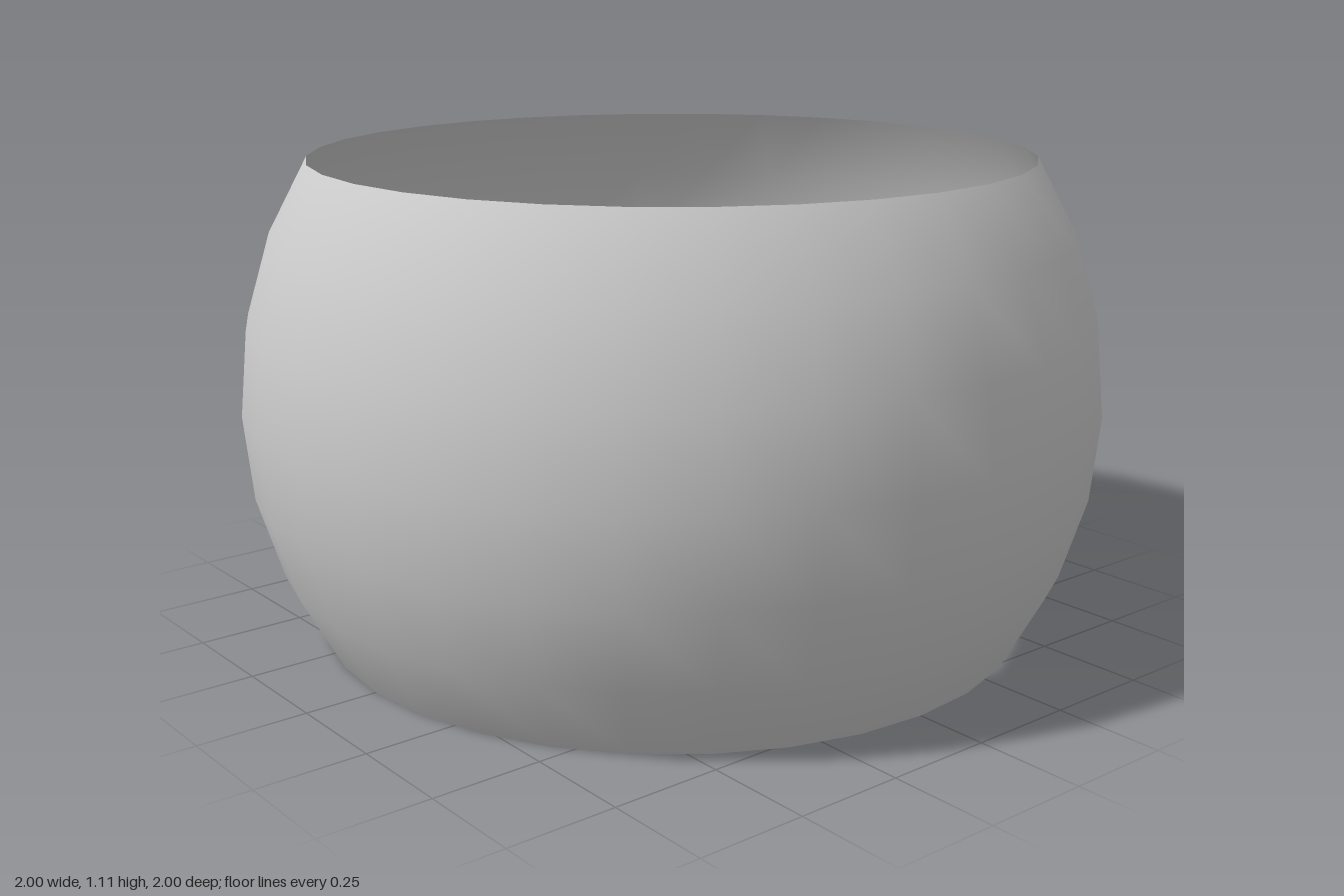
import * as THREE from 'three';

export function createModel() {
  const group = new THREE.Group();
  group.name = 'sphericalBand';

  // Open band: the middle six of sixteen rings of a unit sphere
  const step = Math.PI / 16;
  const geometry = new THREE.SphereGeometry(1, 32, 6, 0, Math.PI * 2, 5 * step, 6 * step);
  geometry.translate(0, Math.sin(3 * step), 0); // lower rim rests on y = 0

  const material = new THREE.MeshStandardMaterial({ color: 0xcccccc, side: THREE.DoubleSide });
  const band = new THREE.Mesh(geometry, material);
  band.name = 'bandWall';
  group.add(band);
  return group;
}
